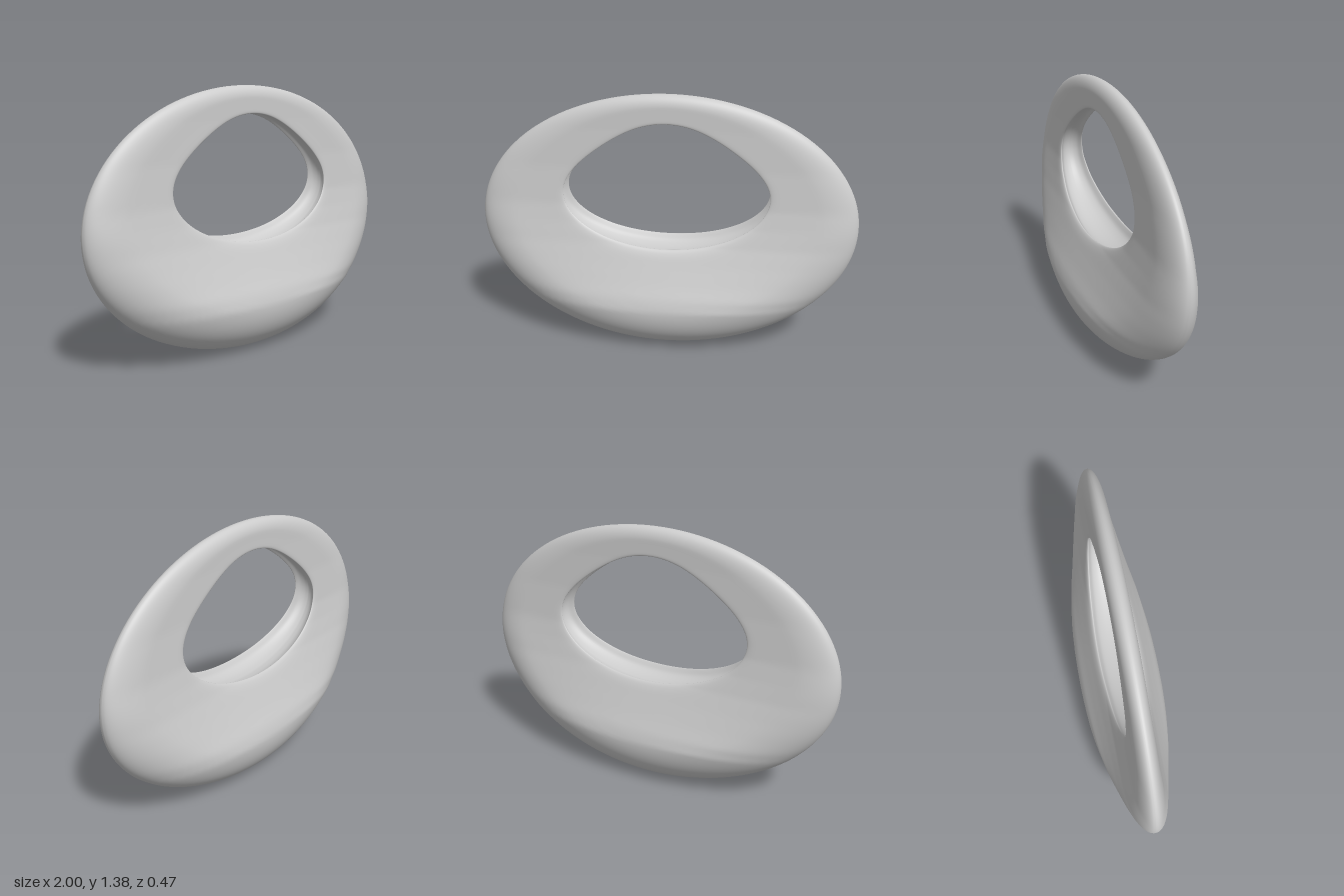
import * as THREE from 'three';

const AROUND = 128, HALF = 32;

// Half thickness of the ring by height: fat at the bottom, thin at the top
const THICKNESS = [[0.27, 0.235], [0.33, 0.22], [0.4, 0.191], [0.5, 0.153], [0.6, 0.118], [0.7, 0.092],
  [0.8, 0.075], [1, 0.058], [1.2, 0.05], [1.4, 0.047]];

function thickness(x, y) {
  let i = 0;
  while (i < THICKNESS.length - 2 && y > THICKNESS[i + 1][0]) i++;
  const [y0, t0] = THICKNESS[i], [y1, t1] = THICKNESS[i + 1];
  const t = THREE.MathUtils.lerp(t0, t1, THREE.MathUtils.clamp((y - y0) / (y1 - y0), 0, 1));
  // the fat part tapers towards the sides
  return t * (1 - 0.5 * x * x * THREE.MathUtils.clamp((0.7 - y) / 0.4, 0, 1));
}

// Outer outline: an ellipse
const outer = (a) => new THREE.Vector2(Math.cos(a), 0.69 + 0.69 * Math.sin(a));

// Opening: flat oval below, slightly pointed arch above
function inner(a) {
  const s = Math.sin(a), q = s * s;
  const pinch = s > 0 ? 1 - 0.24 * q * (2 - q) : 1;
  return new THREE.Vector2(0.54 * Math.cos(a) * pinch, 0.86 + (s > 0 ? 0.375 : 0.28) * s);
}

// Half cross-section: x runs from the outer edge (0) to the opening (1), y is relative thickness
function halfSection() {
  const pts = [];
  for (let i = 0; i <= 8; i++) {
    const a = (i / 8) * Math.PI / 2;
    pts.push(new THREE.Vector2(0.46 * (1 - Math.cos(a)), Math.sin(a)));
  }
  // flank, rounded lip, then the shallow groove lining the opening
  for (const [s, k] of [[0.6, 1], [0.75, 1], [0.9, 1], [0.96, 0.98], [0.99, 0.94], [1, 0.88],
    [0.985, 0.8], [0.94, 0.6], [0.91, 0.3], [0.9, 0]]) pts.push(new THREE.Vector2(s, k));
  return new THREE.SplineCurve(pts).getPoints(HALF * 2);
}

export function createModel() {
  const half = halfSection();
  const back = half.slice(1, -1).reverse().map((p) => new THREE.Vector2(p.x, -p.y));
  const section = [...half, ...back];
  const n = section.length;
  const positions = [], index = [];

  // Sweep the section around the ring
  for (let i = 0; i < AROUND; i++) {
    const a = (i / AROUND) * Math.PI * 2;
    const o = outer(a), h = inner(a);
    section.forEach((p, j) => {
      const q = o.clone().lerp(h, p.x);
      positions.push(q.x, q.y, p.y * thickness(q.x, q.y));
      const i2 = (i + 1) % AROUND, j2 = (j + 1) % n;
      const A = i * n + j, B = i2 * n + j, C = i2 * n + j2, D = i * n + j2;
      index.push(A, B, D, B, C, D);
    });
  }

  const geometry = new THREE.BufferGeometry();
  geometry.setAttribute('position', new THREE.Float32BufferAttribute(positions, 3));
  geometry.setIndex(index);
  geometry.computeVertexNormals();

  const ring = new THREE.Mesh(geometry, new THREE.MeshStandardMaterial({ color: 0xcccccc }));
  ring.name = 'ringBody';
  const group = new THREE.Group();
  group.name = 'ovalRing';
  group.add(ring);
  return group;
}
